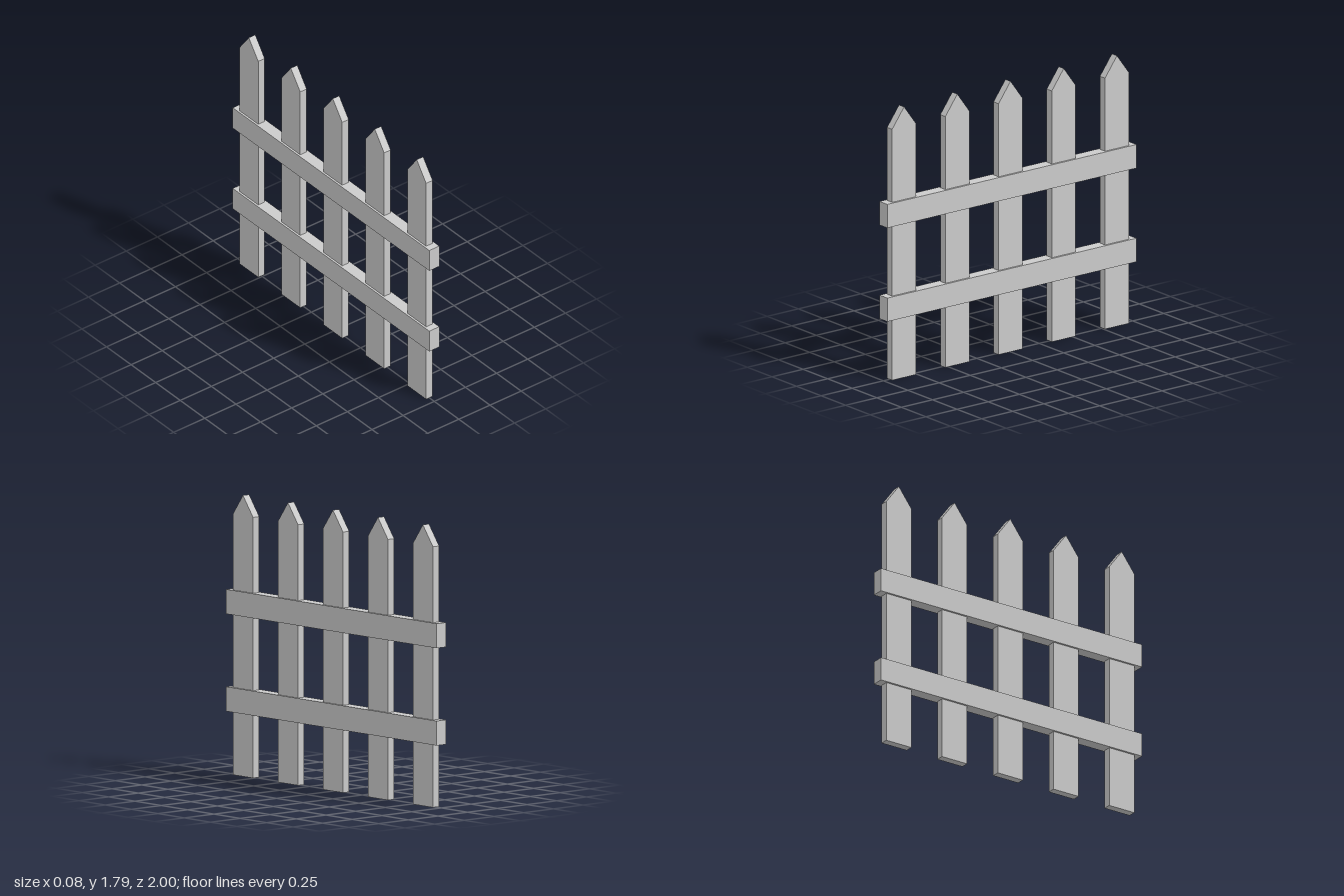
import * as THREE from 'three';

const material = new THREE.MeshStandardMaterial({ color: 0xcccccc, flatShading: true });

// Pointed board, outlined in the z-y plane and extruded through its thickness
function picketGeometry(width, shoulder, tip, thickness) {
  const h = width / 2;
  const shape = new THREE.Shape([
    new THREE.Vector2(-h, 0),
    new THREE.Vector2(h, 0),
    new THREE.Vector2(h, shoulder),
    new THREE.Vector2(0, tip),
    new THREE.Vector2(-h, shoulder),
  ]);
  const geometry = new THREE.ExtrudeGeometry(shape, { depth: thickness, bevelEnabled: false });
  geometry.translate(0, 0, -thickness / 2);
  geometry.rotateY(Math.PI / 2);
  return geometry;
}

export function createModel() {
  const fence = new THREE.Group();
  fence.name = 'picketFence';

  // Five evenly spaced pickets
  const picket = picketGeometry(0.192, 1.66, 1.79, 0.052);
  for (let i = -2; i <= 2; i++) {
    const mesh = new THREE.Mesh(picket, material);
    mesh.name = `picket${i + 3}`;
    mesh.position.z = i * 0.427;
    fence.add(mesh);
  }

  // Two horizontal rails enclosing the pickets
  const rail = new THREE.BoxGeometry(0.08, 0.156, 2);
  for (const [name, y] of [['lowerRail', 0.479], ['upperRail', 1.099]]) {
    const mesh = new THREE.Mesh(rail, material);
    mesh.name = name;
    mesh.position.y = y;
    fence.add(mesh);
  }

  return fence;
}
